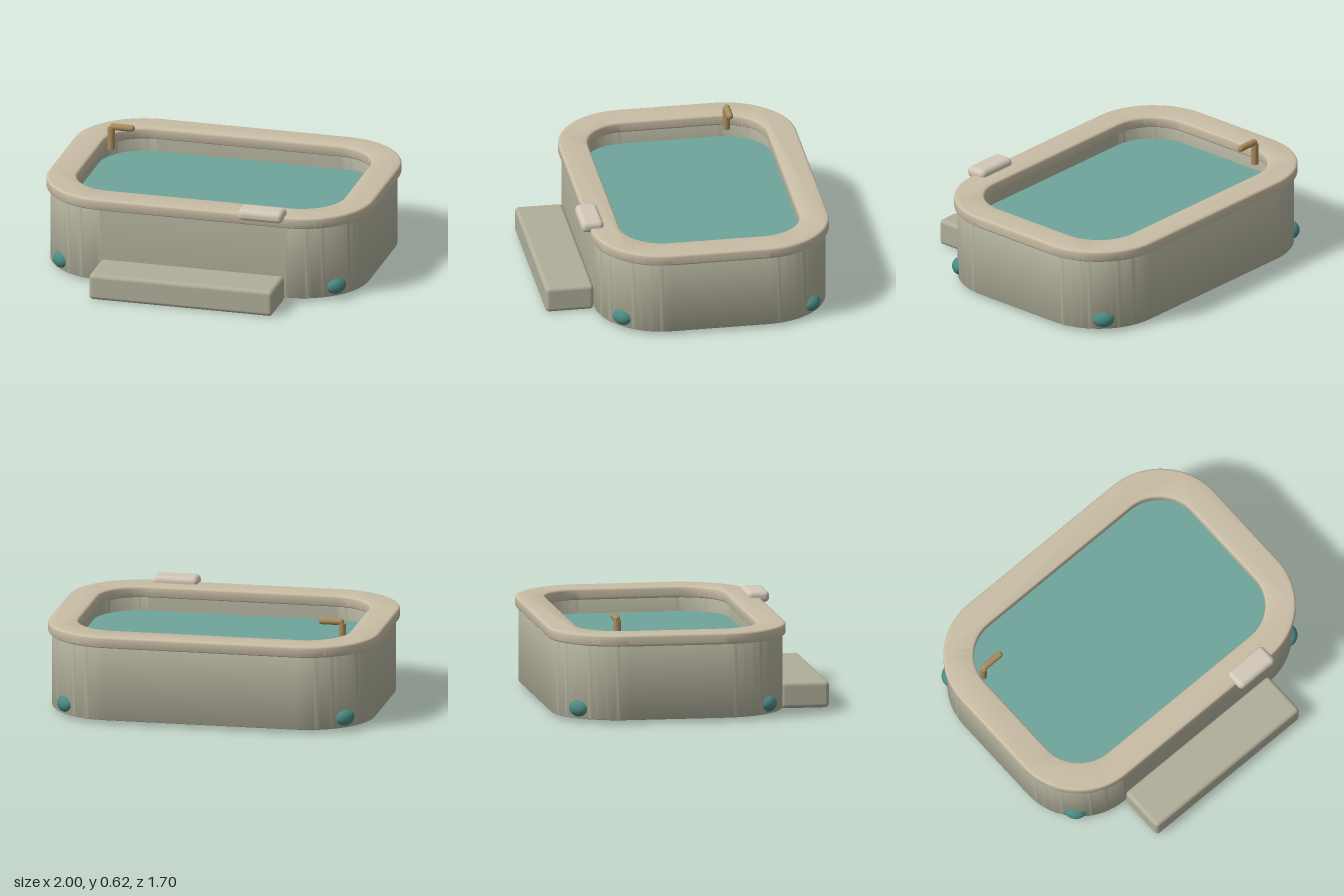
import * as THREE from 'three';
import { toCreasedNormals } from 'three/addons/utils/BufferGeometryUtils.js';
import { RoundedBoxGeometry } from 'three/addons/geometries/RoundedBoxGeometry.js';

const CENTRE_Z = -0.135; // middle of the tub; the step reaches forward of it

const paint = (color) => new THREE.MeshStandardMaterial({ color });

// Trace a rounded rectangle given half sizes and corner radius
function roundedRect(path, hx, hz, r) {
  const cx = hx - r, cz = hz - r;
  path.moveTo(hx, -cz);
  path.absarc(cx, cz, r, 0, Math.PI / 2);
  path.absarc(-cx, cz, r, Math.PI / 2, Math.PI);
  path.absarc(-cx, -cz, r, Math.PI, Math.PI * 1.5);
  path.absarc(cx, -cz, r, Math.PI * 1.5, Math.PI * 2);
  return path;
}

// Upright rounded slab from y0 to y1, optionally hollowed out
function slab(outer, inner, y0, y1, bevel) {
  const shape = roundedRect(new THREE.Shape(), ...outer);
  if (inner) shape.holes.push(roundedRect(new THREE.Path(), ...inner));
  const geo = new THREE.ExtrudeGeometry(shape, {
    depth: y1 - y0 - 2 * bevel,
    curveSegments: 20,
    bevelEnabled: bevel > 0,
    bevelThickness: bevel,
    bevelSize: bevel,
    bevelOffset: -bevel,
    bevelSegments: 4,
  });
  geo.rotateX(-Math.PI / 2);
  geo.translate(0, y0 + bevel, CENTRE_Z);
  return toCreasedNormals(geo, Math.PI / 5);
}

export function createModel() {
  const model = new THREE.Group();
  model.name = 'hotTub';

  const add = (name, geometry, material, x = 0, y = 0, z = 0) => {
    const mesh = new THREE.Mesh(geometry, material);
    mesh.name = name;
    mesh.position.set(x, y, z);
    model.add(mesh);
    return mesh;
  };

  const shellPaint = paint(0xb0ae9a);
  const lampPaint = paint(0x4a8a82);
  const brass = paint(0xa88c5c);

  // Tub wall, overhanging rim and water filling the inside
  add('shell', slab([0.975, 0.695, 0.405], [0.85, 0.57, 0.28], 0.02, 0.47, 0.006), shellPaint);
  add('rim', slab([1, 0.715, 0.43], [0.82, 0.54, 0.26], 0.465, 0.535, 0.015), paint(0xc8bda5));
  add('water', slab([0.852, 0.572, 0.282], null, 0.024, 0.38, 0), paint(0x6fa59b));

  // Step in front and headrest on the rim
  add('step', new RoundedBoxGeometry(1.13, 0.16, 0.29, 4, 0.025), shellPaint, 0, 0.08, 0.705);
  add('headrest', new RoundedBoxGeometry(0.275, 0.07, 0.134, 4, 0.03), paint(0xd2c8b8), 0.428, 0.54, 0.565);

  // Corner lamps, flattened against the curved wall
  for (const sx of [-1, 1]) {
    for (const sz of [-1, 1]) {
      const lamp = add('cornerLamp', new THREE.SphereGeometry(1, 24, 16), lampPaint,
        sx * 0.843, 0.08, CENTRE_Z + sz * 0.567);
      lamp.scale.set(0.066, 0.051, 0.05);
      lamp.rotation.y = sx * sz * Math.PI / 4;
    }
  }

  // Spout: upright stem and rounded bar over the water
  add('spoutStem', new THREE.CylinderGeometry(0.022, 0.022, 0.135, 20), brass, -0.785, 0.5275, -0.465);
  const bar = add('spoutBar', new THREE.CapsuleGeometry(0.02, 0.115, 8, 20), brass, -0.718, 0.602, -0.465);
  bar.rotation.z = Math.PI / 2;

  return model;
}
